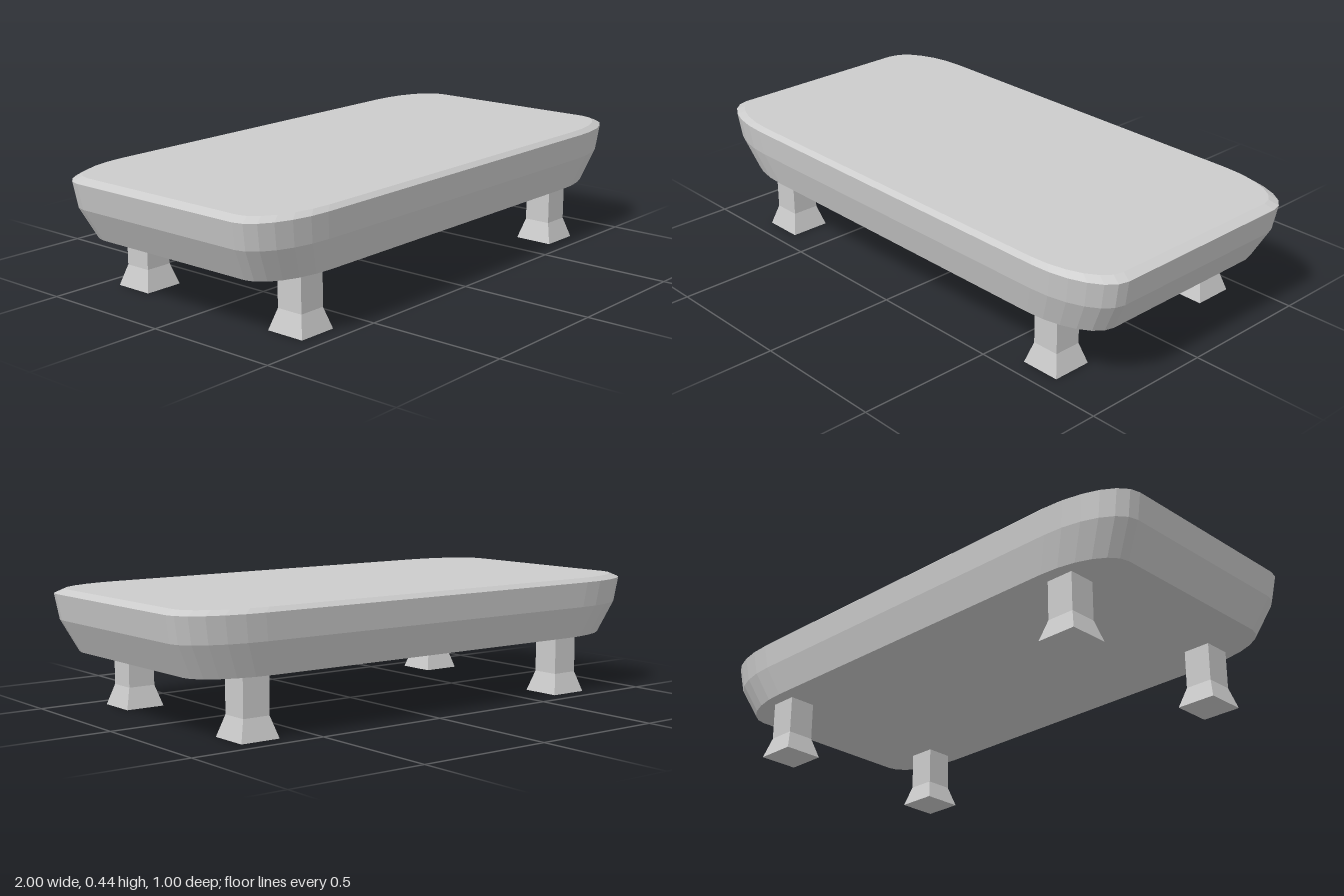
import * as THREE from 'three';

const material = new THREE.MeshStandardMaterial({ color: 0xcccccc, flatShading: true, side: THREE.DoubleSide });

// Rounded-rectangle outline (half sizes 1 x 0.5) with elliptical corners
function outline(steps = 6) {
  const rx = 0.28, rz = 0.14, points = [];
  for (let corner = 0; corner < 4; corner++) {
    const sx = corner === 0 || corner === 3 ? 1 : -1;
    const sz = corner < 2 ? 1 : -1;
    for (let i = 0; i <= steps; i++) {
      const a = (corner + i / steps) * Math.PI / 2;
      points.push([sx * (1 - rx) + rx * Math.cos(a), sz * (0.5 - rz) + rz * Math.sin(a)]);
    }
  }
  return points;
}

// Stack scaled copies of the outline and cap both ends
function loft(levels) {
  const ring = outline(), n = ring.length, positions = [], index = [];
  for (const [y, s] of levels) for (const [x, z] of ring) positions.push(x * s, y, z * s);
  for (let l = 0; l < levels.length - 1; l++) {
    for (let i = 0; i < n; i++) {
      const a = l * n + i, b = l * n + (i + 1) % n;
      index.push(a, a + n, b, b, a + n, b + n);
    }
  }
  const top = (levels.length - 1) * n;
  for (let i = 1; i < n - 1; i++) {
    index.push(0, i, i + 1);
    index.push(top, top + i + 1, top + i);
  }
  const geometry = new THREE.BufferGeometry();
  geometry.setAttribute('position', new THREE.Float32BufferAttribute(positions, 3));
  geometry.setIndex(index);
  const flat = geometry.toNonIndexed();
  flat.computeVertexNormals();
  return flat;
}

// Four-sided tapered block given half widths and vertical span
function block(name, halfTop, halfBottom, y0, y1) {
  const geometry = new THREE.CylinderGeometry(halfTop * Math.SQRT2, halfBottom * Math.SQRT2, y1 - y0, 4);
  geometry.rotateY(Math.PI / 4).translate(0, (y0 + y1) / 2, 0);
  const mesh = new THREE.Mesh(geometry, material);
  mesh.name = name;
  return mesh;
}

export function createModel() {
  const model = new THREE.Group();
  model.name = 'lowTable';

  // Slab: tapering sides with a small bevel around the top
  const slab = new THREE.Mesh(loft([[0.215, 0.922], [0.33, 0.983], [0.422, 1], [0.437, 0.966]]), material);
  slab.name = 'tableTop';
  model.add(slab);

  // Legs with flared feet
  for (const [sx, side] of [[1, 'Left'], [-1, 'Right']]) {
    for (const [sz, end] of [[1, 'front'], [-1, 'back']]) {
      const leg = new THREE.Group();
      leg.name = `${end}${side}Leg`;
      leg.add(block('post', 0.051, 0.051, 0.075, 0.215), block('foot', 0.051, 0.074, 0, 0.075));
      leg.position.set(sx * 0.7, 0, sz * 0.36);
      model.add(leg);
    }
  }
  return model;
}
